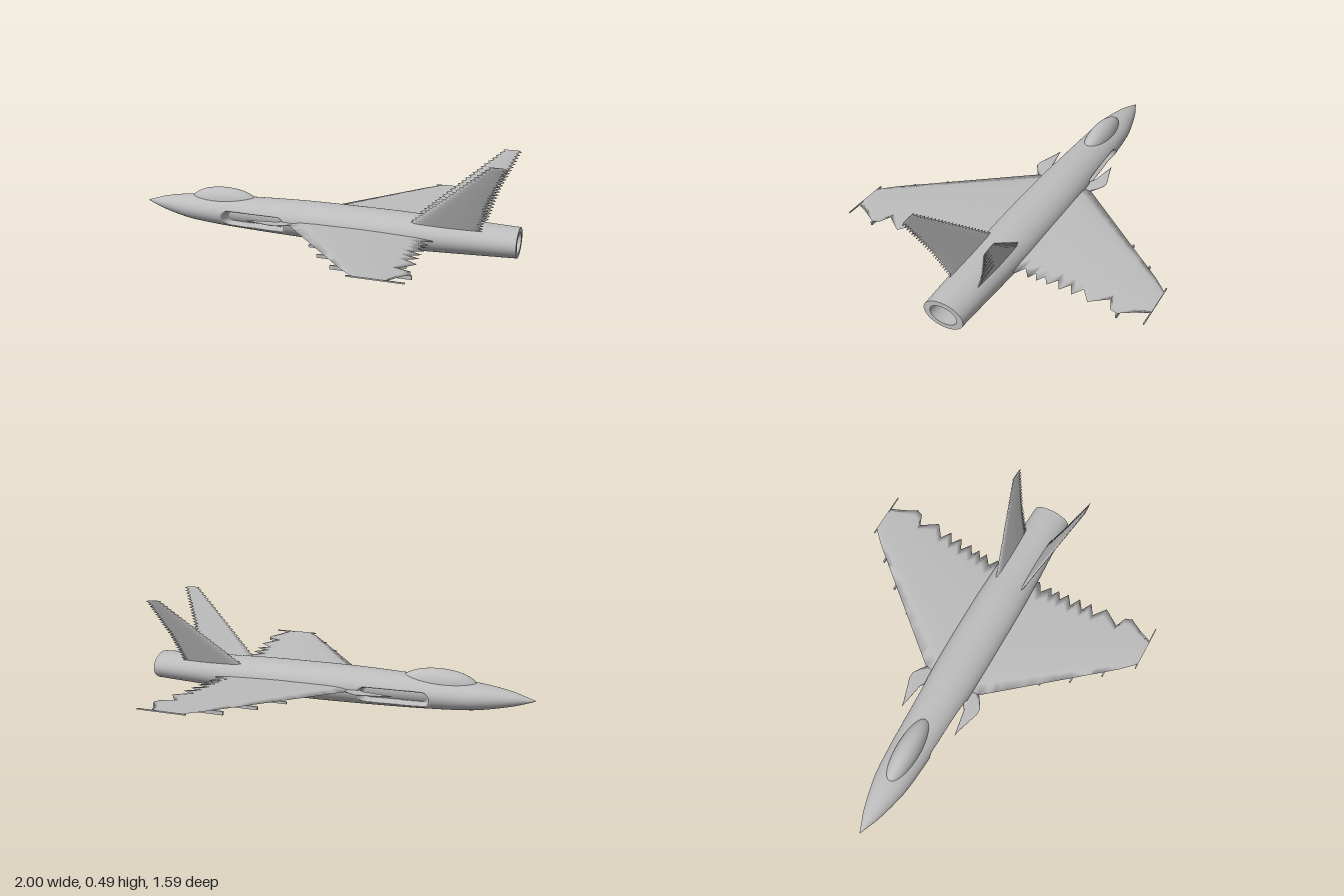
import * as THREE from 'three';

const grey = new THREE.MeshStandardMaterial({ color: 0xbdbdbd, side: THREE.DoubleSide });
grey.name = 'airframe grey';

// Skin a list of closed rings; flip reverses the facing.
function loft(name, rings, flip = false) {
  const n = rings[0].length, pos = rings.flat(2), idx = [];
  for (let i = 0; i < rings.length - 1; i++) {
    for (let j = 0; j < n; j++) {
      const a = i * n + j, b = a + n, c = i * n + (j + 1) % n, d = c + n;
      if (flip) idx.push(a, c, b, b, c, d);
      else idx.push(a, b, c, b, d, c);
    }
  }
  const g = new THREE.BufferGeometry();
  g.setAttribute('position', new THREE.Float32BufferAttribute(pos, 3));
  g.setIndex(idx);
  g.computeVertexNormals();
  const mesh = new THREE.Mesh(g, grey);
  mesh.name = name;
  return mesh;
}

const ellipse = (x, y, hy, hz, n = 120) => Array.from({ length: n }, (_, j) => {
  const a = j / n * Math.PI * 2;
  return [x, y + hy * Math.sin(a), hz * Math.cos(a)];
});

// Thin aerofoil panel: stations are [span, leading x, trailing x, half thickness].
function panel(name, stations, base, normal, side) {
  const N = 10;
  const rings = stations.map(([s, lead, trail, t]) => {
    const [y, z] = base(s), ring = [];
    for (let j = 0; j < 2 * N; j++) {
      const up = j < N, f = up ? j / N : (2 * N - j) / N;
      const h = t * Math.min(1, 2.6 * Math.sqrt(f) * (1 - f) + 0.1) * (up ? 1 : -1);
      ring.push([lead + (trail - lead) * f, y + normal[0] * h, side * (z + normal[1] * h)]);
    }
    return ring;
  });
  const tip = rings.at(-1), m = tip.reduce((p, q) => p.map((v, k) => v + q[k] / tip.length), [0, 0, 0]);
  rings.push(tip.map(() => m));
  return loft(name, rings, side < 0);
}

// Fuselage outline: x, bottom, top, half width
const SECTIONS = [
  [-1, 0.108, 0.112, 0.002], [-0.95, 0.09, 0.127, 0.022], [-0.9, 0.075, 0.142, 0.042],
  [-0.8, 0.052, 0.16, 0.07], [-0.7, 0.036, 0.17, 0.09], [-0.5, 0.022, 0.178, 0.105],
  [-0.3, 0.014, 0.186, 0.113], [-0.1, 0.009, 0.191, 0.122], [0.1, 0.006, 0.191, 0.127],
  [0.4, 0.008, 0.188, 0.126], [0.6, 0.014, 0.182, 0.119], [0.8, 0.021, 0.177, 0.11], [1, 0.029, 0.17, 0.102],
];

function sectionAt(x) {
  let i = 0;
  while (i < SECTIONS.length - 2 && x > SECTIONS[i + 1][0]) i++;
  const p = SECTIONS[Math.max(i - 1, 0)], a = SECTIONS[i], b = SECTIONS[i + 1];
  const q = SECTIONS[Math.min(i + 2, SECTIONS.length - 1)];
  const w = b[0] - a[0], f = (x - a[0]) / w;
  return [1, 2, 3].map(k => { // cubic Hermite
    const ma = i ? (b[k] - p[k]) / (b[0] - p[0]) * w : b[k] - a[k];
    const mb = q === b ? b[k] - a[k] : (q[k] - a[k]) / (q[0] - a[0]) * w;
    return (2 * f ** 3 - 3 * f ** 2 + 1) * a[k] + (f ** 3 - 2 * f ** 2 + f) * ma
      + (3 * f ** 2 - 2 * f ** 3) * b[k] + (f ** 3 - f ** 2) * mb;
  });
}

function fuselage() {
  const rings = [];
  for (let i = 0; i <= 280; i++) {
    const x = -1 + i / 140, [lo, hi, w] = sectionAt(x);
    rings.push(ellipse(x, (lo + hi) / 2, (hi - lo) / 2, w, 160).map(([px, y, z]) => {
      // Scooped air intake: stadium-shaped recess in each side
      const cx = THREE.MathUtils.clamp(px, -0.47, -0.19);
      const d = Math.hypot(px - cx, y - 0.085) - 0.038;
      const depth = 0.055 * (1 - THREE.MathUtils.smoothstep(d, -0.012, 0.002));
      return [px, y, z - Math.sign(z) * Math.min(depth, Math.abs(z))];
    }));
  }
  return loft('fuselage', rings);
}

export function createModel() {
  const model = new THREE.Group();
  model.name = 'jetAircraft';
  const add = (...m) => model.add(...m);
  add(fuselage());

  // Canopy
  const canopy = new THREE.Mesh(new THREE.SphereGeometry(1, 48, 32), grey);
  canopy.name = 'canopy';
  canopy.scale.set(0.19, 0.075, 0.062);
  canopy.position.set(-0.535, 0.149, 0);
  add(canopy);

  // Exhaust: flat rim, hollow duct, back wall and central splitter
  add(loft('nozzleRim', [ellipse(1, 0.0995, 0.0705, 0.102), ellipse(1, 0.099, 0.048, 0.07)]));
  add(loft('exhaustDuct', [ellipse(1, 0.099, 0.048, 0.07), ellipse(0.35, 0.099, 0.048, 0.07)]));
  add(loft('ductBackWall', [ellipse(0.35, 0.099, 0.048, 0.07), ellipse(0.35, 0.099, 0, 0)]));
  const splitter = new THREE.Mesh(new THREE.BoxGeometry(0.3, 0.09, 0.012), grey);
  splitter.name = 'ductSplitter';
  splitter.position.set(0.51, 0.097, 0);
  add(splitter);

  // Wing planform with a saw-toothed trailing edge
  const teeth = [[0.08, 0.6], [0.13, 0.62], [0.16, 0.57], [0.2, 0.62], [0.22, 0.58], [0.245, 0.62],
    [0.27, 0.58], [0.3, 0.625], [0.335, 0.575], [0.365, 0.63], [0.4, 0.58], [0.43, 0.635],
    [0.465, 0.58], [0.515, 0.645], [0.6, 0.585], [0.625, 0.645], [0.66, 0.655], [0.72, 0.62], [0.765, 0.6], [0.79, 0.59]];
  const wing = teeth.map(([z, trail]) => {
    const lead = z < 0.16 ? -0.1 - (0.16 - z) * 0.8 : z < 0.75 ? -0.1 + (z - 0.16) * 0.84 : 0.4 + (z - 0.75);
    return [z, lead, trail, 0.018 - 0.0145 * (z - 0.08) / 0.71];
  });
  const wingBase = s => [0.1 + 0.05 * (s - 0.12), s];

  // Swept fin with finely serrated edges
  const fin = [];
  for (let i = 0; i <= 48; i++) {
    const f = i / 48, y = 0.15 + 0.345 * f, j = i % 2 ? 0.008 : -0.008;
    const trail = f < 0.45 ? 0.825 + 0.1 * f : 0.87 + 0.155 * (f - 0.45);
    fin.push([y, 0.475 + 0.405 * f + j, trail + j * 1.3, 0.008 - 0.005 * f]);
  }

  const canard = [[0.09, -0.16, -0.03, 0.006], [0.13, -0.21, -0.08, 0.005], [0.155, -0.35, -0.1, 0.004],
    [0.165, -0.31, -0.11, 0.004], [0.2, -0.2, -0.165, 0.002]];

  // Underwing rails: z, front x, rear x, depth
  const rails = [[0.4, 0.1, 0.56, 0.012], [0.53, 0.19, 0.6, 0.016], [0.66, 0.3, 0.66, 0.018]];

  for (const side of [1, -1]) {
    const label = side > 0 ? 'left' : 'right';
    add(panel(label + 'Wing', wing, wingBase, [1, 0], side));
    add(panel(label + 'TailFin', fin, s => [s, 0.07 + (s - 0.15) * 0.385], [0.36, -0.93], side));
    add(panel(label + 'Foreplane', canard, s => [0.1 + (s - 0.1) * 0.1, s], [1, 0], side));
    for (const [z, x0, x1, h] of rails) {
      const rail = new THREE.Mesh(new THREE.BoxGeometry(x1 - x0, h, 0.008), grey);
      rail.name = label + 'WingRail';
      rail.position.set((x0 + x1) / 2, wingBase(z)[0] - 0.006 - h / 2, side * z);
      add(rail);
    }
    const tipRail = new THREE.Mesh(new THREE.BoxGeometry(0.25, 0.006, 0.005), grey);
    tipRail.name = label + 'WingtipRail';
    tipRail.position.set(0.54, wingBase(0.79)[0], side * 0.79);
    add(tipRail);
  }
  return model;
}
